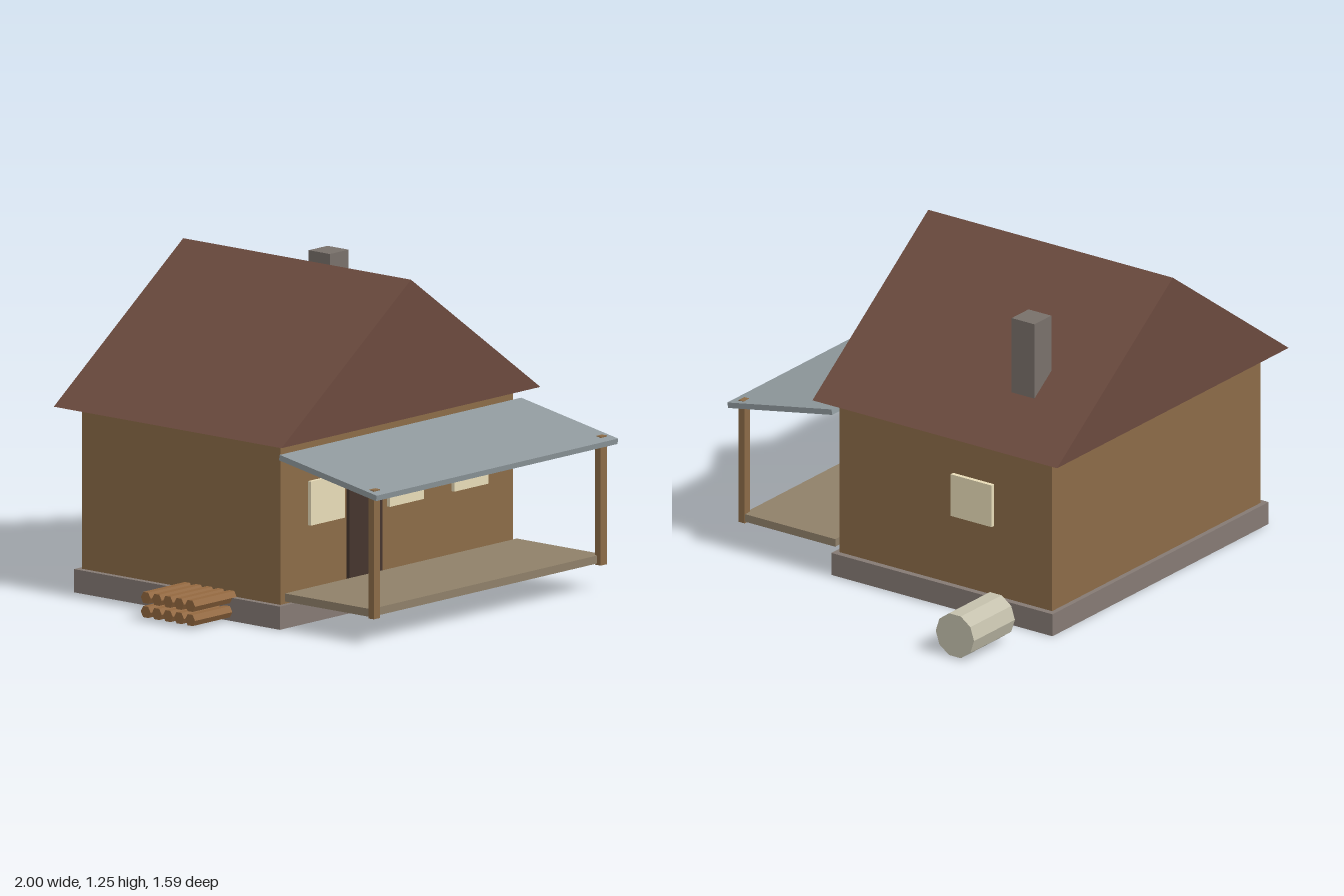
import * as THREE from 'three';

const CX = -0.09; // centre line of the house

export function createModel() {
  const house = new THREE.Group();
  house.name = 'cabin';

  const mat = (color) => new THREE.MeshStandardMaterial({ color, flatShading: true });
  const wood = mat(0x8b6b47), roofing = mat(0x6b4a3e), stone = mat(0x857a74), brick = mat(0x78706a);
  const dark = mat(0x45352d), glass = mat(0xe8dcb8), metal = mat(0x8f999d), planks = mat(0x8f8069);
  const tankPaint = mat(0xc4c0ac), logWood = mat(0x93683f);

  const add = (name, geometry, material, parent = house) => {
    const mesh = new THREE.Mesh(geometry, material);
    mesh.name = name;
    parent.add(mesh);
    return mesh;
  };
  // Box given by its lower and upper limits on each axis
  const box = (name, material, [x0, x1], [y0, y1], [z0, z1], parent) => {
    const g = new THREE.BoxGeometry(x1 - x0, y1 - y0, z1 - z0);
    g.translate((x0 + x1) / 2, (y0 + y1) / 2, (z0 + z1) / 2);
    return add(name, g, material, parent);
  };
  // Cylinder lying along x
  const lying = (name, material, radius, sides, [x0, x1], y, z, parent) => {
    const g = new THREE.CylinderGeometry(radius, radius, x1 - x0, sides);
    g.rotateZ(Math.PI / 2).translate((x0 + x1) / 2, y, z);
    return add(name, g, material, parent);
  };

  // Base and walls
  box('foundation', stone, [CX - 0.695, CX + 0.695], [0, 0.09], [-0.735, 0.305]);
  box('walls', wood, [CX - 0.67, CX + 0.67], [0.09, 0.725], [-0.715, 0.285]);

  // Solid gable roof
  const gable = new THREE.Shape([
    new THREE.Vector2(CX - 0.745, 0.72),
    new THREE.Vector2(CX + 0.745, 0.72),
    new THREE.Vector2(CX, 1.255),
  ]);
  const roof = new THREE.ExtrudeGeometry(gable, { depth: 1.15, bevelEnabled: false });
  add('roof', roof.translate(0, 0, -0.793), roofing);
  box('chimney', brick, [0.335, 0.443], [0.75, 1.177], [-0.532, -0.425]);

  // Door and windows
  box('door', dark, [-0.38, -0.19], [0.09, 0.505], [0.27, 0.3]);
  for (const x of [-0.503, -0.047, 0.323])
    box('frontWindow', glass, [x - 0.098, x + 0.098], [0.374, 0.545], [0.27, 0.3]);
  box('sideWindow', glass, [0.565, 0.597], [0.374, 0.545], [-0.443, -0.25]);

  // Porch: deck, posts and sloping metal roof
  const porch = new THREE.Group();
  porch.name = 'porch';
  house.add(porch);
  box('deck', planks, [CX - 0.668, CX + 0.668], [0.106, 0.137], [0.306, 0.74], porch);
  for (const side of [-1, 1]) {
    const x = CX + side * 0.653;
    box('porchPost', wood, [x - 0.018, x + 0.018], [0.1, 0.6], [0.73, 0.758], porch);
  }
  const awning = add('porchRoof', new THREE.BoxGeometry(1.39, 0.022, 0.498), metal, porch);
  awning.position.set(CX, 0.623, 0.547);
  awning.rotation.x = 0.182;

  // Tank beside the house
  lying('tank', tankPaint, 0.09, 10, [0.737, 1], 0.092, -0.565);

  // Stacked firewood against the wall
  const pile = new THREE.Group();
  pile.name = 'woodPile';
  house.add(pile);
  for (let row = 0; row < 2; row++)
    for (let i = 0; i < 5; i++)
      lying('log', logWood, 0.025, 6, [-1, -0.74], 0.035 + row * 0.055, -0.184 + i * 0.056, pile);

  return house;
}
